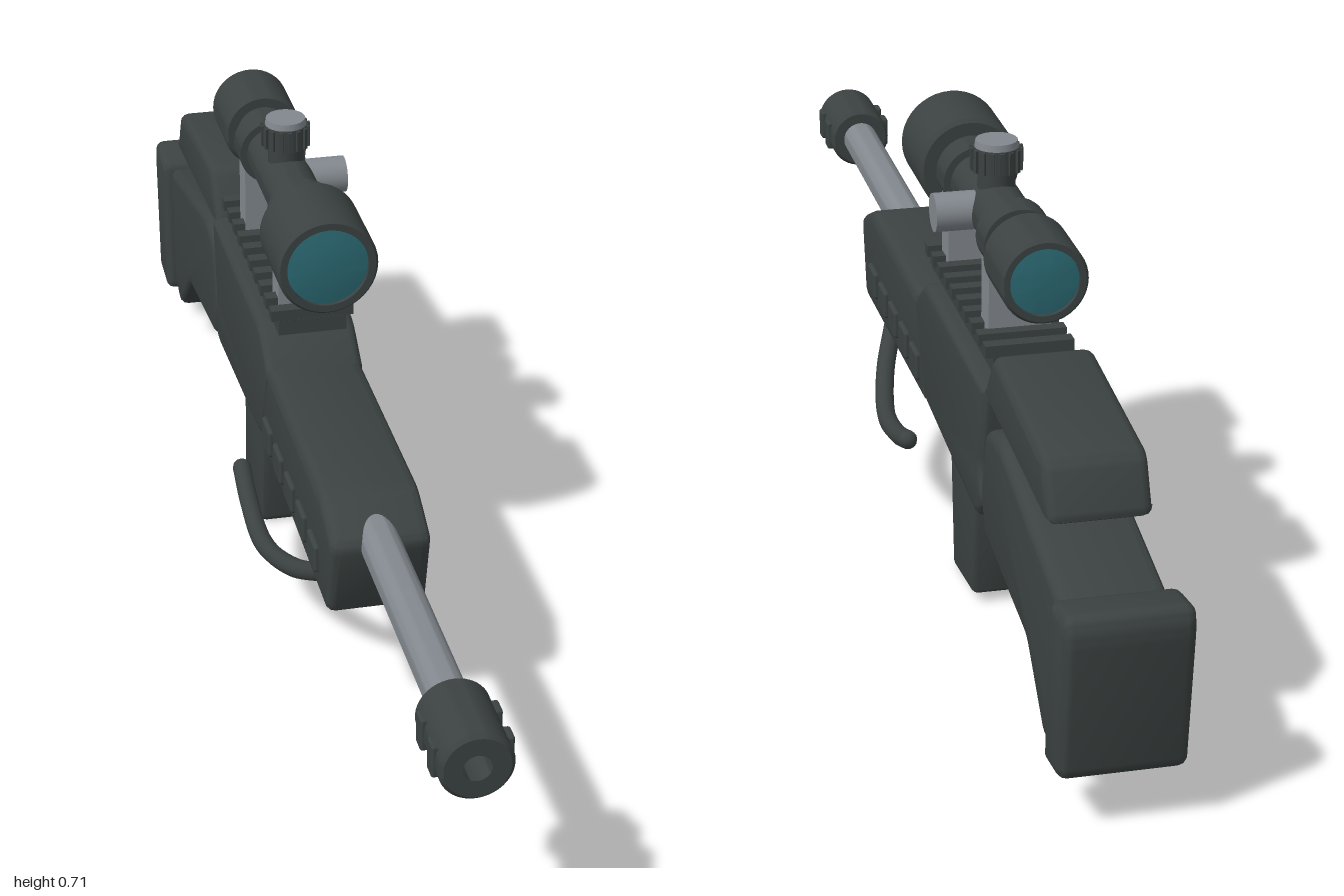
import * as THREE from 'three';
import { toCreasedNormals } from 'three/addons/utils/BufferGeometryUtils.js';
import { RoundedBoxGeometry } from 'three/addons/geometries/RoundedBoxGeometry.js';

export function createModel() {
  const group = new THREE.Group();
  const mat = (name, color) => {
    const m = new THREE.MeshStandardMaterial({ color });
    m.name = name;
    return m;
  };
  const dark = mat('dark grey', 0x3b4241);
  const steel = mat('steel grey', 0x82888e);
  const glass = mat('teal glass', 0x2c6a74);

  const add = (name, geo, material, x = 0, y = 0, z = 0) => {
    const mesh = new THREE.Mesh(geo, material);
    mesh.name = name;
    mesh.position.set(x, y, z);
    group.add(mesh);
    return mesh;
  };

  // Side outline of [z, y] points with rounded corners, extruded across x
  function slab(name, pts, width, material, bevel = 0.014, round = 0.018) {
    const v = pts.map(([z, y]) => new THREE.Vector2(z, y));
    const shape = new THREE.Shape();
    v.forEach((p, i) => {
      const prev = v[(i + v.length - 1) % v.length];
      const next = v[(i + 1) % v.length];
      const toward = (q) => p.clone().lerp(q, Math.min(0.4, round / p.distanceTo(q)));
      const a = toward(prev), b = toward(next);
      if (i === 0) shape.moveTo(a.x, a.y);
      else shape.lineTo(a.x, a.y);
      shape.quadraticCurveTo(p.x, p.y, b.x, b.y);
    });
    shape.closePath();
    const depth = width - 2 * bevel;
    const geo = new THREE.ExtrudeGeometry(shape, {
      depth, curveSegments: 4, bevelEnabled: true, bevelThickness: bevel,
      bevelSize: bevel, bevelOffset: -bevel, bevelSegments: 3,
    });
    geo.translate(0, 0, -depth / 2).rotateY(-Math.PI / 2);
    return add(name, toCreasedNormals(geo, 0.7), material);
  }

  // Turned part along z from [radius, z] points, rear to front
  function turned(name, pts, material, y) {
    const geo = new THREE.LatheGeometry(pts.map(([r, z]) => new THREE.Vector2(r, z)), 40);
    geo.rotateX(Math.PI / 2);
    return add(name, toCreasedNormals(geo, 0.6), material, 0, y, 0);
  }

  function tube(name, pts, r, material) {
    const curve = new THREE.CatmullRomCurve3(pts.map((p) => new THREE.Vector3(...p)));
    add(name, new THREE.TubeGeometry(curve, 32, r, 12), material);
    for (const p of [pts[0], pts[pts.length - 1]]) {
      add(name + 'End', new THREE.SphereGeometry(r, 12, 8), material, ...p);
    }
  }

  // Body
  slab('forend', [[0.46, 0.345], [0.375, 0.385], [-0.03, 0.385], [-0.07, 0.225], [0.43, 0.212]], 0.15, dark);
  slab('receiver', [[0.01, 0.378], [-0.07, 0.433], [-0.475, 0.43], [-0.445, 0.29], [-0.475, 0.25],
    [-0.435, 0.208], [-0.06, 0.233]], 0.154, dark);
  slab('stock', [[-0.445, 0.26], [-0.48, 0.372], [-0.555, 0.387], [-0.91, 0.315], [-0.89, 0.1],
    [-0.835, 0.07], [-0.73, 0.168], [-0.475, 0.198]], 0.15, dark);
  slab('buttPad', [[-0.908, 0.325], [-0.99, 0.338], [-1, 0.31], [-0.975, 0.087], [-0.888, 0.075]], 0.178, dark);
  slab('cheekRest', [[-0.455, 0.417], [-0.512, 0.5], [-0.805, 0.473], [-0.843, 0.39]], 0.145, dark);
  slab('magazine', [[-0.15, 0.25], [-0.31, 0.25], [-0.315, 0.017], [-0.175, 0]], 0.11, dark, 0.01, 0.012);

  // Raised panels along both sides of the forend
  for (const side of [-1, 1]) {
    for (let i = 0; i < 5; i++) {
      add('forendPanel', new RoundedBoxGeometry(0.016, 0.046, 0.056, 2, 0.005), dark,
        side * 0.074, 0.271, 0.343 - i * 0.085);
    }
  }

  // Barrel and muzzle
  turned('barrel', [[0, 0.2], [0.03, 0.2], [0.03, 0.88]], steel, 0.337);
  turned('muzzle', [[0, 0.864], [0.047, 0.864], [0.052, 0.87], [0.052, 0.994], [0.046, 1],
    [0.02, 1], [0.02, 0.95], [0, 0.95]], dark, 0.337);
  for (const side of [-1, 1]) {
    for (const z of [0.903, 0.963]) {
      add('muzzlePort', new RoundedBoxGeometry(0.016, 0.05, 0.028, 2, 0.004), dark, side * 0.048, 0.337, z);
    }
  }

  // Rail with cross teeth
  add('railBase', new THREE.BoxGeometry(0.108, 0.025, 0.42), dark, 0, 0.45, -0.23);
  for (let i = 0; i < 10; i++) {
    add('railTooth', new THREE.BoxGeometry(0.13, 0.018, 0.021), dark, 0, 0.471, -0.031 - i * 0.0443);
  }

  // Scope body
  const scopeY = 0.606;
  turned('scopeTube', [[0.043, -0.45], [0.043, 0]], dark, scopeY);
  turned('objectiveBell', [[0.04, -0.05], [0.072, -0.05], [0.078, -0.044], [0.078, 0.088], [0.074, 0.093],
    [0.063, 0.093], [0.063, 0.07]], dark, scopeY);
  turned('eyepiece', [[0.05, -0.49], [0.05, -0.525], [0.059, -0.525], [0.063, -0.52], [0.063, -0.417],
    [0.058, -0.41], [0.04, -0.41]], dark, scopeY);
  turned('frontLens', [[0.063, 0.086], [0.04, 0.09], [0, 0.092]], glass, scopeY);
  turned('rearLens', [[0, -0.522], [0.03, -0.521], [0.05, -0.518]], glass, scopeY);

  // Scope rings and mounts
  for (const z of [-0.083, -0.353]) {
    turned('scopeRing', [[0.04, z - 0.027], [0.054, z - 0.027], [0.054, z + 0.027], [0.04, z + 0.027]], dark, scopeY);
    add('scopeMount', new THREE.BoxGeometry(0.092, 0.13, 0.048), steel, 0, 0.528, z);
  }

  // Adjustment knobs
  const knobZ = -0.225;
  add('turretNeck', new THREE.CylinderGeometry(0.028, 0.028, 0.06, 24), dark, 0, 0.65, knobZ);
  add('turretKnob', new THREE.CylinderGeometry(0.035, 0.035, 0.036, 28), dark, 0, 0.685, knobZ);
  for (let i = 0; i < 16; i++) {
    const a = (i / 16) * Math.PI * 2;
    const ridge = add('turretRidge', new THREE.BoxGeometry(0.007, 0.034, 0.008), dark,
      Math.sin(a) * 0.035, 0.685, knobZ + Math.cos(a) * 0.035);
    ridge.rotation.y = a;
  }
  add('turretCap', new THREE.CylinderGeometry(0.031, 0.033, 0.012, 28), steel, 0, 0.707, knobZ);
  add('sideKnob', new THREE.CylinderGeometry(0.029, 0.029, 0.065, 28), steel, 0.0625, scopeY, knobZ)
    .rotation.z = -Math.PI / 2;

  // Folded legs under the forend
  for (const s of [-1, 1]) {
    tube('leg', [[s * 0.052, 0.205, 0.305], [s * 0.082, 0.165, 0.22], [s * 0.105, 0.138, 0.1],
      [s * 0.107, 0.152, -0.01], [s * 0.105, 0.172, -0.075]], 0.015, dark);
  }

  // Trigger and its guard
  tube('triggerGuard', [[0, 0.058, -0.3], [0, 0.057, -0.36], [0, 0.078, -0.415], [0, 0.125, -0.443],
    [0, 0.185, -0.454]], 0.013, dark);
  tube('trigger', [[0, 0.225, -0.362], [0, 0.185, -0.36], [0, 0.15, -0.34], [0, 0.125, -0.355]], 0.008, steel);

  return group;
}
